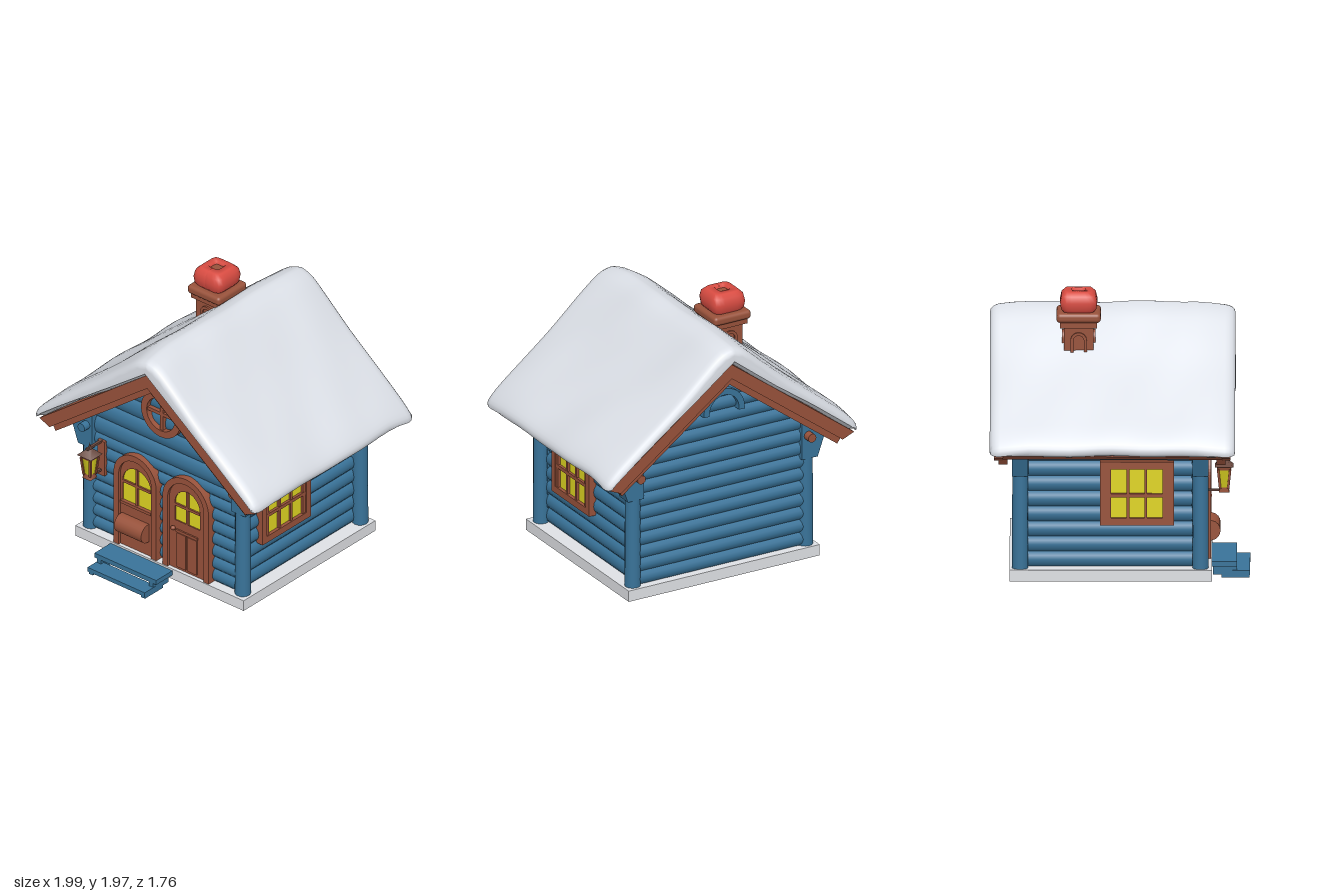
import * as THREE from 'three';
import { mergeVertices, toCreasedNormals } from 'three/addons/utils/BufferGeometryUtils.js';
import { RoundedBoxGeometry } from 'three/addons/geometries/RoundedBoxGeometry.js';

const paint = (name, color) => {
  const m = new THREE.MeshStandardMaterial({ color });
  m.name = name;
  return m;
};

export function createModel() {
  const blue = paint('blue wood', 0x397399), brown = paint('brown wood', 0x98523b);
  const snow = paint('snow', 0xdadee5), stone = paint('pale stone', 0xdfe1e5);
  const yellow = paint('lit glass', 0xe0d622), red = paint('red clay', 0xd94c42);
  const iron = paint('lantern iron', 0x6c4a40);

  const root = new THREE.Group();
  root.name = 'cabin';
  const add = (name, geo, mat, x = 0, y = 0, z = 0, parent = root) => {
    const m = new THREE.Mesh(geo, mat);
    m.name = name;
    m.position.set(x, y, z);
    parent.add(m);
    return m;
  };
  const group = (name, parent = root) => {
    const g = new THREE.Group();
    g.name = name;
    parent.add(g);
    return g;
  };
  const box = (w, h, d) => new THREE.BoxGeometry(w, h, d);
  const poly = pts => new THREE.Shape(pts.map(p => new THREE.Vector2(p[0], p[1])));
  const slab = (shape, depth) => new THREE.ExtrudeGeometry(shape, { depth, bevelEnabled: false, curveSegments: 14 });
  // solid opening with a half-round top, centred on x = 0
  const arch = (r, y0, y1) => {
    const s = new THREE.Shape();
    s.moveTo(-r, y0).lineTo(r, y0).lineTo(r, y1 - r).absarc(0, y1 - r, r, 0, Math.PI, false);
    s.closePath();
    return s;
  };
  // arched surround, open at the bottom
  const archTrim = (r, w, y0, y1) => {
    const s = new THREE.Shape();
    s.moveTo(r, y0).lineTo(r, y1 - r).absarc(0, y1 - r, r, 0, Math.PI, false);
    s.lineTo(-r, y0).lineTo(w - r, y0).lineTo(w - r, y1 - r).absarc(0, y1 - r, r - w, Math.PI, 0, true);
    s.lineTo(r - w, y0);
    s.closePath();
    return s;
  };
  const withHole = (outer, inner) => { outer.holes.push(inner); return outer; };
  const rect = (w, h) => poly([[-w / 2, -h / 2], [w / 2, -h / 2], [w / 2, h / 2], [-w / 2, h / 2]]);
  const circle = r => new THREE.Shape().absarc(0, 0, r, 0, Math.PI * 2, false);

  // foundation
  add('foundation', box(1.5, 0.08, 1.37), stone, 0, 0.09, -0.063);

  // solid core behind the logs, with the gables
  add('wallCore', slab(poly([[-0.63, 0.12], [0.63, 0.12], [0.63, 1.14], [0, 1.62], [-0.63, 1.14]]), 1.2), blue, 0, 0, -0.67);

  // rounded log courses on all four walls
  const logs = group('logs');
  const log = (len, pitch, x, y, z, turn) => {
    const m = add('log', new THREE.CylinderGeometry(1, 1, len, 12), blue, x, y, z, logs);
    m.rotation.set(0, turn, Math.PI / 2, 'YXZ');
    m.scale.set(pitch * 0.54, 1, 0.045);
  };
  const gableHalf = y => Math.min(0.66, (1.6 - y) / 0.75);
  for (let i = 0; i < 8; i++) log(1.32, 0.096, 0, 0.178 + i * 0.096, 0.53, 0);
  for (let y = 0.955; y < 1.55; y += 0.13) log(2 * gableHalf(y), 0.13, 0, y, 0.53, 0);
  for (let y = 0.178; y < 1.55; y += 0.096) log(2 * gableHalf(y), 0.096, 0, y, -0.67, 0);
  for (const s of [-1, 1]) {
    for (let i = 0; i < 9; i++) log(1.2, 0.105, s * 0.62, 0.182 + i * 0.105, -0.065, Math.PI / 2);
  }

  // corner posts with flared brackets
  const bracket = poly([[0.62, 0.78], [0.745, 0.78], [0.805, 0.95], [0.79, 1.01], [0.62, 1.12]]);
  for (const s of [-1, 1]) {
    for (const z of [0.545, -0.675]) {
      const corner = group('cornerPost');
      add('post', new THREE.CylinderGeometry(0.052, 0.055, 0.9, 14), blue, s * 0.677, 0.56, z, corner);
      const b = add('bracket', slab(bracket, 0.11), blue, 0, 0, z - s * 0.055, corner);
      if (s < 0) b.rotation.y = Math.PI;
      const stub = add('beamEnd', new THREE.CylinderGeometry(0.032, 0.032, 0.1, 12), s * z < 0 && z > 0 ? blue : brown,
        s * 0.67, 0.952, z + Math.sign(z) * 0.06, corner);
      stub.rotation.x = Math.PI / 2;
    }
  }

  // roof deck and bargeboards, each a chevron
  const chevron = (top, bottom, xt, xb) => poly([[0, top], [-xt, top - 0.75 * xt], [-xb, bottom - 0.75 * xb],
    [0, bottom], [xb, bottom - 0.75 * xb], [xt, top - 0.75 * xt]]);
  add('roofDeck', slab(chevron(1.68, 1.61, 0.95, 0.9), 1.58), brown, 0, 0, -0.84);
  for (const z of [0.69, -0.85]) add('bargeboard', slab(chevron(1.68, 1.575, 0.96, 0.87), 0.06), brown, 0, 0, z);
  for (const z of [0.655, -0.82]) add('innerBargeboard', slab(chevron(1.6, 1.52, 0.88, 0.845), 0.06), brown, 0, 0, z);

  // thick snow blanket: rounded chevron, sinking towards both gable ends, gently uneven
  const half = new THREE.SplineCurve([[0, 1.82], [0.1, 1.785], [0.25, 1.662], [0.47, 1.468], [0.75, 1.245], [0.91, 1.115],
    [0.985, 1.03], [0.975, 0.975], [0.92, 0.985]].map(p => new THREE.Vector2(...p))).getPoints(28);
  half.push(new THREE.Vector2(0.6, 1.23), new THREE.Vector2(0.3, 1.45), new THREE.Vector2(0, 1.675));
  const left = half.slice(1, -1).reverse().map(p => new THREE.Vector2(-p.x, p.y));
  let snowGeo = new THREE.ExtrudeGeometry(new THREE.Shape([...half, ...left]), {
    depth: 1.52, steps: 16, bevelEnabled: true, bevelSize: 0.045, bevelOffset: -0.045, bevelThickness: 0.07, bevelSegments: 4 });
  snowGeo.deleteAttribute('uv');
  snowGeo.deleteAttribute('normal');
  snowGeo.translate(0, 0, -0.81);
  snowGeo = mergeVertices(snowGeo, 1e-4);
  const p = snowGeo.attributes.position;
  for (let i = 0; i < p.count; i++) {
    const x = p.getX(i), y = p.getY(i), z = p.getZ(i);
    const sink = 0.022 * THREE.MathUtils.smoothstep(Math.abs(z + 0.05), 0.55, 0.83) * (y > 1.72 - 0.75 * Math.abs(x) ? 1 : 0);
    p.setY(i, y - sink + 0.004 * Math.sin(7 * z + 5 * x) + 0.003 * Math.sin(13 * z - 9 * x));
    p.setX(i, x + 0.005 * Math.sin(9 * z + 4 * y));
  }
  add('snowBlanket', toCreasedNormals(snowGeo, 0.8), snow);

  // chimney
  const chimney = group('chimney');
  chimney.position.set(-0.26, 0, -0.28);
  add('stack', box(0.2, 0.46, 0.2), brown, 0, 1.54, 0, chimney);
  add('collar', box(0.25, 0.04, 0.25), brown, 0, 1.745, 0, chimney);
  add('cap', new RoundedBoxGeometry(0.29, 0.065, 0.3, 3, 0.025), brown, 0, 1.795, 0, chimney);
  for (const a of [0, 1, 2, 3]) {
    const side = group('smokeArch', chimney);
    side.rotation.y = a * Math.PI / 2;
    add('archTrim', slab(archTrim(0.055, 0.02, 1.45, 1.69), 0.015), brown, 0, 0, 0.098, side);
  }
  // square clay pot with bulging sides and an open top
  const pot = new THREE.LatheGeometry([[0.1, 1.82], [0.12, 1.845], [0.127, 1.895], [0.117, 1.94], [0.09, 1.966], [0.045, 1.97], [0.045, 1.92]]
    .map(q => new THREE.Vector2(...q)), 32);
  const pp = pot.attributes.position;
  for (let i = 0; i < pp.count; i++) {
    const x = pp.getX(i), z = pp.getZ(i), r = Math.hypot(x, z);
    const k = r / Math.pow(x ** 6 + z ** 6, 1 / 6);
    pp.setX(i, x * k);
    pp.setZ(i, z * k);
  }
  pot.computeVertexNormals();
  add('clayPot', pot, red, 0, 0, 0, chimney);
  add('potFloor', box(0.1, 0.01, 0.1), brown, 0, 1.94, 0, chimney);

  // arched doors: frame, leaf with glazed opening, glazing bars
  const door = (name, x, r, wr, w0) => {
    const g = group(name);
    g.position.x = x;
    add('frame', slab(archTrim(r, 0.045, 0.13, 0.88), 0.08), brown, 0, 0, 0.535, g);
    add('leaf', slab(withHole(arch(r - 0.04, 0.13, 0.84), arch(wr, w0, 0.765)), 0.045), brown, 0, 0, 0.55, g);
    add('glass', slab(arch(wr + 0.005, w0 - 0.005, 0.77), 0.008), yellow, 0, 0, 0.578, g);
    add('verticalBar', box(0.02, 0.77 - w0, 0.02), brown, 0, (0.77 + w0) / 2, 0.588, g);
    add('crossBar', box(wr * 2, 0.02, 0.02), brown, 0, 0.635, 0.588, g);
    return g;
  };
  const doorA = door('mailDoor', -0.225, 0.19, 0.125, 0.485);
  add('windowSill', box(0.27, 0.022, 0.025), brown, 0, 0.474, 0.6, doorA);
  const mail = add('mailBox', new THREE.CylinderGeometry(0.07, 0.07, 0.24, 18), brown, -0.01, 0.312, 0.61, doorA);
  mail.rotation.z = Math.PI / 2;
  const doorB = door('panelDoor', 0.226, 0.205, 0.11, 0.51);
  for (const x of [-0.048, 0.048]) add('panel', box(0.08, 0.27, 0.016), brown, x, 0.285, 0.597, doorB);
  add('panelRail', box(0.19, 0.02, 0.018), brown, 0, 0.435, 0.597, doorB);
  add('knob', new THREE.SphereGeometry(0.017, 12, 8), brown, -0.12, 0.445, 0.605, doorB);

  // round gable window, and a half-round hood on the back gable
  add('roundWindow', slab(withHole(circle(0.175), circle(0.125)), 0.08), brown, 0, 1.3, 0.53);
  add('roundWindowUpright', box(0.025, 0.26, 0.04), brown, 0, 1.3, 0.58);
  add('roundWindowCross', box(0.26, 0.025, 0.04), brown, 0, 1.3, 0.58);
  add('backGableHood', slab(archTrim(0.16, 0.045, 1.28, 1.46), 0.08), blue, 0, 0, -0.75);

  // side windows
  for (const s of [-1, 1]) {
    const g = group('sideWindow');
    g.position.set(s * 0.665, 0.65, 0.115);
    g.rotation.y = s * Math.PI / 2;
    add('frame', slab(withHole(rect(0.5, 0.44), rect(0.41, 0.34)), 0.055), brown, 0, 0, -0.02, g);
    add('glass', box(0.42, 0.35, 0.008), yellow, 0, 0, 0.006, g);
    for (const x of [-0.06, 0.06]) add('uprightBar', box(0.02, 0.34, 0.02), brown, x, 0, 0.017, g);
    add('crossBar', box(0.41, 0.025, 0.024), brown, 0, -0.015, 0.017, g);
    for (const x of [-0.19, 0.19]) add('innerJamb', box(0.03, 0.34, 0.025), brown, x, 0, 0.015, g);
  }

  // square wall lantern
  const lantern = group('lantern');
  lantern.position.set(-0.55, 0, 0.705);
  add('wallPlate', box(0.06, 0.27, 0.03), brown, 0.005, 0.735, -0.125, lantern);
  add('upperArm', box(0.02, 0.015, 0.16), iron, 0, 0.865, -0.05, lantern);
  add('lowerArm', box(0.02, 0.015, 0.13), iron, 0, 0.642, -0.06, lantern);
  const foursquare = (name, rt, rb, h, mat, y) => {
    add(name, new THREE.CylinderGeometry(rt, rb, h, 4), mat, 0, y, 0, lantern).rotation.y = Math.PI / 4;
  };
  add('finial', new THREE.ConeGeometry(0.015, 0.05, 8), iron, 0, 0.88, 0, lantern);
  foursquare('hood', 0.02, 0.088, 0.045, iron, 0.835);
  foursquare('hoodRim', 0.062, 0.06, 0.025, brown, 0.8);
  foursquare('lamp', 0.056, 0.038, 0.13, yellow, 0.725);
  foursquare('base', 0.04, 0.05, 0.035, brown, 0.648);
  for (const sx of [-1, 1]) for (const sz of [-1, 1]) {
    const bar = add('cornerBar', box(0.016, 0.135, 0.016), brown, sx * 0.034, 0.725, sz * 0.034, lantern);
    bar.rotation.set(sz * 0.1, 0, -sx * 0.1);
  }

  // front steps on two stringers
  const steps = group('steps');
  add('upperTread', box(0.55, 0.035, 0.17), blue, -0.16, 0.098, 0.705, steps);
  add('lowerTread', box(0.51, 0.032, 0.12), blue, -0.165, 0.034, 0.82, steps);
  for (const x of [-0.395, 0.07]) {
    add('upperSupport', box(0.035, 0.07, 0.16), blue, x, 0.055, 0.71, steps);
    add('lowerSupport', box(0.035, 0.02, 0.19), blue, x, 0.01, 0.78, steps);
  }
  add('stepBrace', box(0.45, 0.025, 0.02), blue, -0.165, 0.04, 0.66, steps);
  return root;
}
